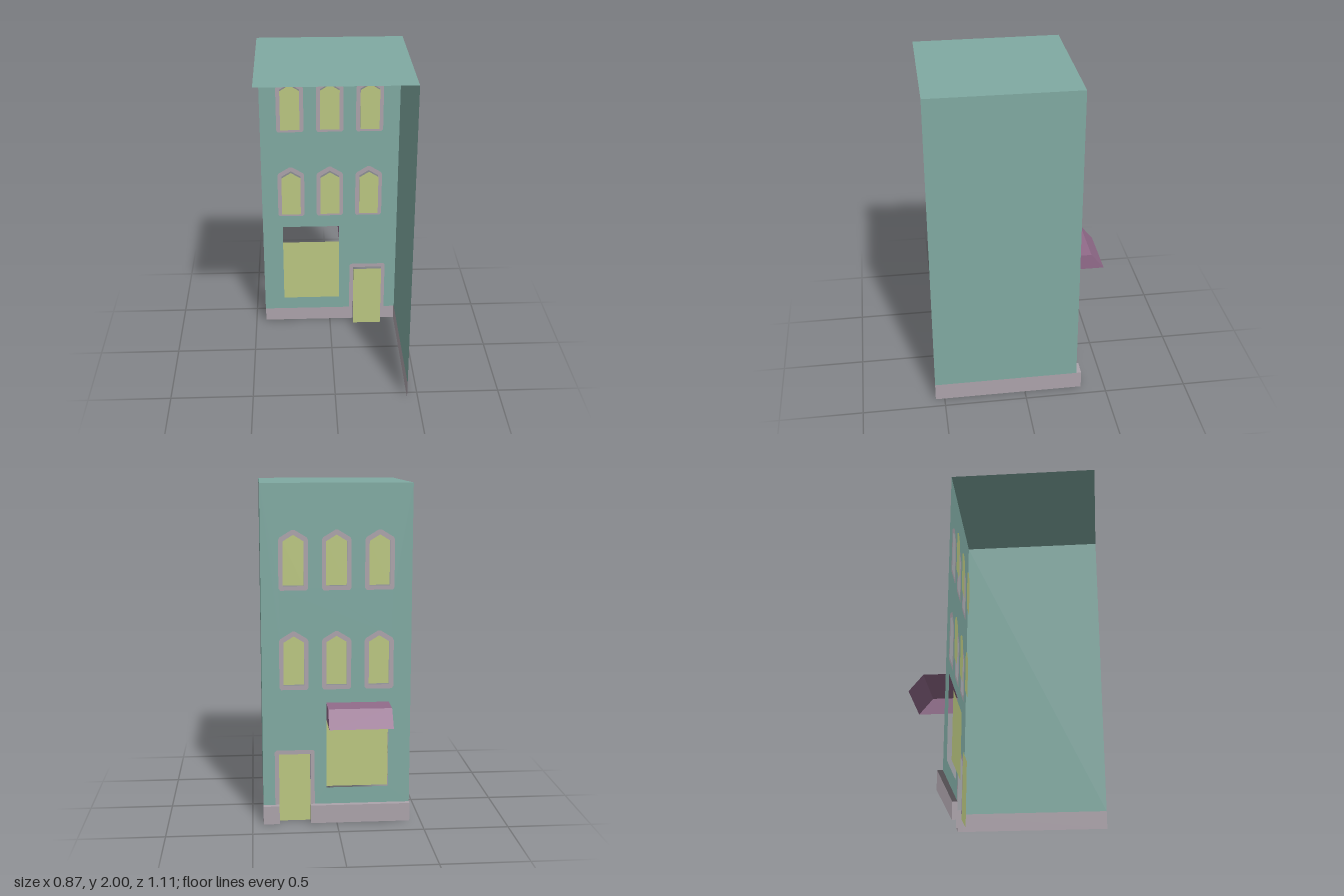
import * as THREE from 'three';

const X = 0.435, TOP = 2, BASE = 0.11;          // half width, roof height, plinth height
const ZF = -0.323, ZO = 0.555, ZB = -0.354;     // facade, open end, plinth face
const ZP = ZF + 0.027;                          // glass, set behind the facade

function material(name, color) {
  const m = new THREE.MeshStandardMaterial({ color, side: THREE.DoubleSide });
  m.name = name;
  return m;
}

const shapeOf = (pts) => new THREE.Shape(pts.map(([x, y]) => new THREE.Vector2(x, y)));
const rect = (x0, x1, y0, y1) => [[x0, y0], [x1, y0], [x1, y1], [x0, y1]];

// Pointed window opening, and its trim outline with clipped corners
const opening = (x, y) => [[x - 0.06, y], [x + 0.06, y], [x + 0.06, y + 0.255], [x, y + 0.292], [x - 0.06, y + 0.255]];
const trim = (x, y) => [
  [x - 0.075, y - 0.025], [x + 0.075, y - 0.025], [x + 0.085, y - 0.012], [x + 0.085, y + 0.262],
  [x + 0.078, y + 0.277], [x + 0.008, y + 0.32], [x - 0.008, y + 0.32],
  [x - 0.078, y + 0.277], [x - 0.085, y + 0.262], [x - 0.085, y - 0.012],
];

export function createModel() {
  const green = material('wall green', 0x80aaa2);
  const stone = material('stone trim', 0xaca3ab);
  const glass = material('pale yellow panel', 0xbbc781);
  const purple = material('awning purple', 0x926b8b);
  const model = new THREE.Group();
  model.name = 'townHouse';

  const add = (name, geometry, mat) => {
    const mesh = new THREE.Mesh(geometry, mat);
    mesh.name = name;
    model.add(mesh);
    return mesh;
  };
  // Flat panel in the facade plane
  const panel = (name, pts, mat, z, holes = []) => {
    const s = shapeOf(pts);
    s.holes = holes.map(shapeOf);
    add(name, new THREE.ShapeGeometry(s), mat).position.z = z;
  };
  // Single four-cornered face
  const quad = (name, a, b, c, d, mat) => {
    const g = new THREE.BufferGeometry();
    g.setAttribute('position', new THREE.Float32BufferAttribute([...a, ...b, ...c, ...d], 3));
    g.setIndex([0, 1, 2, 0, 2, 3]);
    g.computeVertexNormals();
    add(name, g, mat);
  };

  // Facade with openings for windows, shop window and door
  const windows = [];
  for (const y of [0.835, 1.418]) for (const x of [-0.248, 0, 0.248]) windows.push([x, y]);
  const shop = [-0.307, 0.06, 0.21, 0.73];
  panel('facade', [
    [-X, BASE], [0.13, BASE], [0.13, 0.435], [0.14, 0.445], [0.355, 0.445], [0.365, 0.435],
    [0.365, BASE], [X, BASE], [X, TOP], [-X, TOP],
  ], green, ZF, [rect(...shop), ...windows.map((w) => trim(...w))]);

  // Window surrounds and recessed panes
  for (const w of windows) {
    panel('windowSurround', trim(...w), stone, ZF, [opening(...w)]);
    panel('windowPane', opening(...w), glass, ZP);
  }

  // Shop window stops below the awning
  panel('shopWindow', rect(shop[0], shop[1], shop[2], 0.63), glass, ZP);

  // Door and its surround
  const d0 = 0.155, d1 = 0.34, dTop = 0.42;
  panel('door', rect(d0, d1, 0, dTop), glass, ZP);
  panel('doorSurround', [
    [0.13, BASE], [d0, BASE], [d0, dTop], [d1, dTop], [d1, BASE], [0.365, BASE],
    [0.365, 0.435], [0.355, 0.445], [0.14, 0.445], [0.13, 0.435],
  ], stone, ZF);

  // Projecting plinth on both sides of the door
  for (const [a, b] of [[-X, d0], [d1, X]]) {
    quad('plinthFace', [b, 0, ZB], [a, 0, ZB], [a, BASE, ZB], [b, BASE, ZB], stone);
    quad('plinthLedge', [a, BASE, ZF], [b, BASE, ZF], [b, BASE, ZB], [a, BASE, ZB], stone);
  }
  for (const x of [d0, d1, X]) {
    const p = [[x, 0, ZF], [x, 0, ZB], [x, BASE, ZB], [x, BASE, ZF]];
    quad('plinthEnd', ...(x === d1 ? p.reverse() : p), stone);
  }

  // Side wall with stone base, and flat roof
  quad('sideWall', [X, BASE, ZO], [X, BASE, ZF], [X, TOP, ZF], [X, TOP, ZO], green);
  quad('sideWallBase', [X, 0, ZO], [X, 0, ZF], [X, BASE, ZF], [X, BASE, ZO], stone);
  quad('roof', [-X, TOP, ZO], [X, TOP, ZO], [X, TOP, ZF], [-X, TOP, ZF], green);

  // Awning: flat top, sloping front, one closed end
  const [l, r] = shop, yT = 0.73, yB = 0.63, zM = -0.473, zE = -0.555;
  quad('awningTop', [l, yT, ZF], [r, yT, ZF], [r, yT, zM], [l, yT, zM], purple);
  quad('awningSlope', [l, yT, zM], [r, yT, zM], [r, yB, zE], [l, yB, zE], purple);
  quad('awningEnd', [r, yB, ZF], [r, yB, zE], [r, yT, zM], [r, yT, ZF], purple);

  return model;
}
